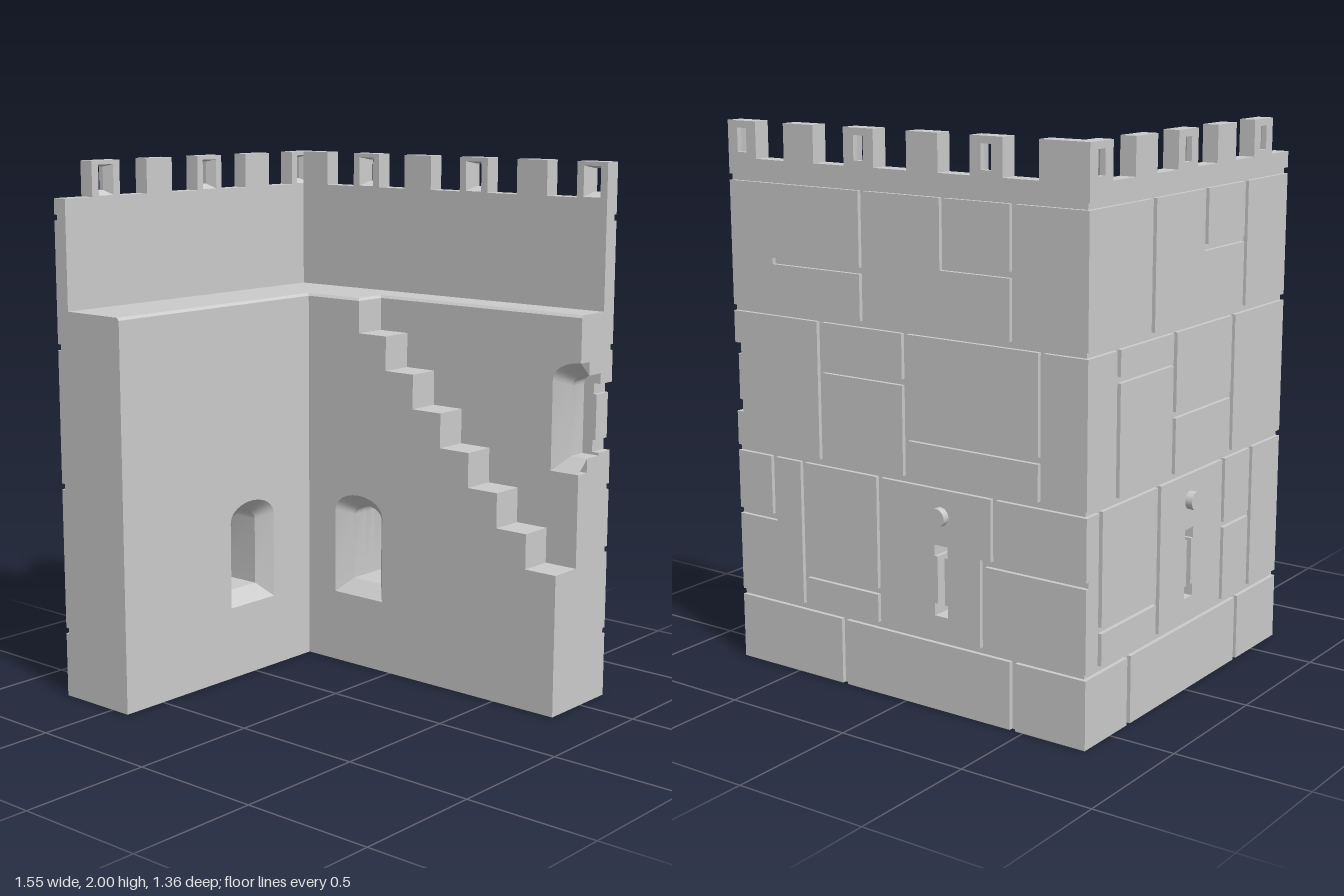
import * as THREE from 'three';
import { toCreasedNormals } from 'three/addons/utils/BufferGeometryUtils.js';

const material = new THREE.MeshStandardMaterial({ color: 0xcccccc });
const openMaterial = new THREE.MeshStandardMaterial({ color: 0xcccccc, side: THREE.DoubleSide });
const WALK = 1.465, PARAPET = 1.87, TOP = 2, SKIN = 0.015;

function add(parent, name, geometry, mat = material) {
  const mesh = new THREE.Mesh(geometry, mat);
  mesh.name = name;
  parent.add(mesh);
  return mesh;
}

function box(parent, name, x0, x1, y0, y1, z0, z1) {
  add(parent, name, new THREE.BoxGeometry(x1 - x0, y1 - y0, z1 - z0))
    .position.set((x0 + x1) / 2, (y0 + y1) / 2, (z0 + z1) / 2);
}

function quadsToGeometry(quads) {
  const pos = [];
  for (const [a, b, c, d] of quads) pos.push(...a, ...b, ...c, ...a, ...c, ...d);
  const g = new THREE.BufferGeometry();
  g.setAttribute('position', new THREE.Float32BufferAttribute(pos, 3));
  g.computeVertexNormals();
  return g;
}

// Flat slab with rectangular cut-outs [x0, x1, y0, y1]; only exposed faces are made
function panel(x0, x1, y0, y1, z0, z1, cuts) {
  const breaks = (lo, hi, vals) =>
    [...new Set([lo, hi, ...vals.filter(v => v > lo && v < hi)])].sort((a, b) => a - b);
  const xs = breaks(x0, x1, cuts.flatMap(c => [c[0], c[1]]));
  const ys = breaks(y0, y1, cuts.flatMap(c => [c[2], c[3]]));
  const solid = (i, j) => {
    if (i < 0 || j < 0 || i >= xs.length - 1 || j >= ys.length - 1) return false;
    const x = (xs[i] + xs[i + 1]) / 2, y = (ys[j] + ys[j + 1]) / 2;
    return !cuts.some(c => x > c[0] && x < c[1] && y > c[2] && y < c[3]);
  };
  const q = [];
  for (let i = 0; i < xs.length - 1; i++) for (let j = 0; j < ys.length - 1; j++) {
    if (!solid(i, j)) continue;
    const a = xs[i], b = xs[i + 1], c = ys[j], d = ys[j + 1];
    q.push([[b, c, z0], [a, c, z0], [a, d, z0], [b, d, z0]]);
    q.push([[a, c, z1], [b, c, z1], [b, d, z1], [a, d, z1]]);
    if (!solid(i - 1, j)) q.push([[a, c, z0], [a, c, z1], [a, d, z1], [a, d, z0]]);
    if (!solid(i + 1, j)) q.push([[b, c, z1], [b, c, z0], [b, d, z0], [b, d, z1]]);
    if (!solid(i, j - 1)) q.push([[a, c, z0], [b, c, z0], [b, c, z1], [a, c, z1]]);
    if (!solid(i, j + 1)) q.push([[a, d, z1], [b, d, z1], [b, d, z0], [a, d, z0]]);
  }
  return quadsToGeometry(q);
}

// Extruded outline with holes between two depths
function slab(outline, holes, z0, z1) {
  const toPts = pts => pts.map(p => new THREE.Vector2(p[0], p[1]));
  const shape = new THREE.Shape(toPts(outline));
  for (const h of holes) shape.holes.push(new THREE.Path(toPts(h)));
  const g = new THREE.ExtrudeGeometry(shape, { depth: z1 - z0, bevelEnabled: false });
  g.translate(0, 0, z0);
  return toCreasedNormals(g, 0.6);
}

// Splayed lining between two matching outlines
function splay(from, zFrom, to, zTo, closed = true) {
  const q = [], n = from.length;
  for (let i = 0; i < (closed ? n : n - 1); i++) {
    const k = (i + 1) % n;
    q.push([[...from[i], zFrom], [...from[k], zFrom], [...to[k], zTo], [...to[i], zTo]]);
  }
  return toCreasedNormals(quadsToGeometry(q), 0.6);
}

// Arched window outline; half keeps the low-x half only
function arch(cx, lift, wide, half = false) {
  const [hw, bottom, spring, rise] = wide ? [0.12, 0.282, 0.62, 0.07] : [0.07, 0.335, 0.595, 0.045];
  const pts = [[cx, bottom + lift], [cx - hw, bottom + lift]];
  const steps = half ? 6 : 12;
  for (let i = 0; i <= steps; i++) {
    const t = (i / 12) * Math.PI;
    pts.push([cx - hw * Math.cos(t), spring + lift + rise * Math.sin(t)]);
  }
  if (!half) pts.push([cx + hw, bottom + lift]);
  return pts;
}

const rect = (x0, x1, y0, y1) => [[x0, y0], [x1, y0], [x1, y1], [x0, y1]];

// Arrow slit: narrow shaft with wider ends
const slit = (cx, lift) => [
  [cx - 0.015, cx + 0.015, 0.345 + lift, 0.6 + lift],
  [cx - 0.028, cx + 0.028, 0.345 + lift, 0.39 + lift],
  [cx - 0.028, cx + 0.028, 0.56 + lift, 0.6 + lift]];

const COURSES = [0.255, 0.81, 1.33, 1.8];

// Mortar joints [x0, y0, x1, y1] to rectangles, plus the full-length courses
function joints(lines) {
  const w = 0.011;
  return [...lines, ...COURSES.map(y => [-2, y, 2, y])].map(([a, b, c, d]) =>
    [Math.min(a, c) - w, Math.max(a, c) + w, Math.min(b, d) - w, Math.max(b, d) + w]);
}

const [C1, C2, C3, C4] = COURSES;
const backJoints = [
  [-0.458, 0, -0.458, C1], [0.28, 0, 0.28, C1],
  [0.11, C1, 0.11, C2], [-0.335, C1, -0.335, 0.57], [-0.335, 0.57, -0.75, 0.57], [-0.38, 0.57, -0.38, C2],
  [0.11, 0.38, 0.46, 0.38], [0.46, C1, 0.46, C2], [0.6, 0.57, 0.77, 0.57], [0.6, 0.57, 0.6, C2],
  [0.367, C2, 0.367, C3], [-0.01, C2, -0.01, C3], [-0.01, 1.15, 0.367, 1.15],
  [-0.57, 0.96, -0.01, 0.96], [-0.57, C2, -0.57, C3],
  [0.17, C3, 0.17, C4], [-0.458, C3, -0.458, C4], [0.17, 1.515, 0.565, 1.515],
  [-0.175, 1.56, -0.175, C4], [-0.458, 1.56, -0.175, 1.56]];
const sideJoints = [
  [0.383, 0, 0.383, C1], [-0.37, 0, -0.37, C1],
  [0.2, C1, 0.2, C2], [-0.25, C1, -0.25, C2], [0.57, C1, 0.57, C2], [0.2, 0.39, 0.57, 0.39],
  [-0.457, 0.55, -0.25, 0.55], [-0.457, C1, -0.457, C2],
  [0.11, C2, 0.11, C3], [0.47, C2, 0.47, C3], [0.11, 1.218, 0.47, 1.218],
  [-0.297, C2, -0.297, C3], [-0.297, 1.03, 0.11, 1.03],
  [0.26, C3, 0.26, C4], [-0.37, C3, -0.37, C4], [-0.087, 1.586, -0.087, C4], [-0.37, 1.586, -0.087, 1.586]];

// Outer shell shared by both walls: stone face, slit plate, parapet, merlons and peg
function shell(wall, o) {
  const { x0, x1, outer, inner, plateEnd, slits, pegX } = o;
  add(wall, 'stoneFace', panel(o.skin0, o.skin1, 0, PARAPET, outer, outer + SKIN, [...joints(o.lines), ...slits]));
  add(wall, 'slitPlate', panel(x0, x1, 0, 1.455, outer + SKIN, plateEnd, slits));
  box(wall, 'parapet', x0, x1, 1.455, PARAPET, outer + SKIN, inner);
  for (const [a, b, pierced] of o.merlons) {
    if (!pierced) { box(wall, 'merlon', a, b, PARAPET, TOP, outer, inner); continue; }
    const c = (a + b) / 2, body = rect(a, b, PARAPET, TOP);
    const wide = rect(c - 0.036, c + 0.036, 1.873, 1.985), small = rect(c - 0.021, c + 0.021, 1.89, 1.975);
    add(wall, 'piercedMerlon', slab(body, [small], outer, outer + 0.02));
    add(wall, 'piercedMerlon', slab(body, [wide], outer + 0.02, inner));
    add(wall, 'merlonOpening', splay(wide, inner, small, outer + 0.02), openMaterial);
  }
  const peg = add(wall, 'peg', new THREE.CylinderGeometry(0.033, 0.033, 0.04, 24));
  peg.rotation.x = Math.PI / 2;
  peg.position.set(pegX, 0.705, outer - 0.007);
}

export function createModel() {
  const model = new THREE.Group();
  const H = 1.455, E = 0.77, WX = -0.16, LIFT = 0.602;

  // Back wall
  const back = new THREE.Group();
  back.name = 'backWall';
  model.add(back);
  shell(back, {
    x0: -0.735, x1: E, skin0: -0.75, skin1: E, outer: -0.655, inner: -0.59, plateEnd: -0.58, pegX: WX,
    lines: backJoints, slits: [...slit(WX, 0), ...slit(E, LIFT)],
    merlons: [[-0.69, -0.56], [-0.42, -0.29, 1], [-0.16, -0.03], [0.11, 0.24, 1], [0.375, 0.51], [0.64, E, 1]]
  });
  const small = arch(WX, 0, false), wide = arch(WX, 0, true);
  const halfSmall = arch(E, LIFT, false, true), halfWide = arch(E, LIFT, true, true);
  const notched = notch => [[-0.6, 0], [E, 0], ...notch, [E, H], [-0.6, H]];
  add(back, 'wallBody', slab(notched(halfSmall), [small], -0.58, -0.505));
  add(back, 'wallBody', slab(notched(halfWide), [small], -0.505, -0.45));
  add(back, 'halfWindowSplay', splay(halfWide, -0.45, halfSmall, -0.505, false), openMaterial);

  // Stairs descending along the back wall
  const stair = [[-0.5, 0], [E, 0]], run = (E - WX) / 7;
  for (let i = 0; i < 7; i++) {
    const y = 0.535 + i * 0.1325;
    stair.push([E - i * run, y], [E - (i + 1) * run, y]);
  }
  stair.push([WX, H], [-0.5, H]);
  add(back, 'stairs', slab(stair, [small], -0.45, -0.375));
  add(back, 'stairs', slab(stair, [wide], -0.375, -0.32));
  add(back, 'windowSplay', splay(wide, -0.32, small, -0.375), openMaterial);

  // Side wall, built facing +z and turned to face +x
  const side = new THREE.Group();
  side.name = 'sideWall';
  side.rotation.y = Math.PI / 2;
  model.add(side);
  shell(side, {
    x0: -0.68, x1: 0.64, skin0: -0.68, skin1: 0.64, outer: -0.75, inner: -0.69, plateEnd: -0.67, pegX: -0.01,
    lines: sideJoints, slits: slit(-0.01, 0),
    merlons: [[0.52, 0.655, 1], [0.25, 0.385], [-0.015, 0.115, 1], [-0.28, -0.15], [-0.55, -0.415, 1]]
  });
  const sSmall = arch(-0.01, 0, false), sWide = arch(-0.01, 0, true), sBody = rect(-0.68, 0.6, 0, H);
  add(side, 'wallBody', slab(sBody, [sSmall], -0.67, -0.475));
  add(side, 'wallBody', slab(sBody, [sWide], -0.475, -0.42));
  add(side, 'windowSplay', splay(sWide, -0.42, sSmall, -0.475), openMaterial);

  // Walkway with a small chamfer along its inner edge
  const plan = [[-0.735, 0.68], [-0.43, 0.68], [-0.43, -0.33], [-0.17, -0.33], [-0.17, -0.46],
    [E, -0.46], [E, -0.64], [-0.735, -0.64]].map(([x, z]) => [x, -z]);
  const walk = slab(plan, [], 0, WALK - H).rotateX(-Math.PI / 2).translate(0, H, 0);
  const p = walk.attributes.position;
  for (let i = 0; i < p.count; i++) {
    if (p.getY(i) > H + 0.005) continue;
    const x = p.getX(i), z = p.getZ(i);
    if (x > -0.5 && x < 0) p.setX(i, x + 0.01);
    if (z > -0.5 && z < -0.2) p.setZ(i, z + 0.01);
  }
  walk.computeVertexNormals();
  add(model, 'walkway', walk);
  return model;
}
